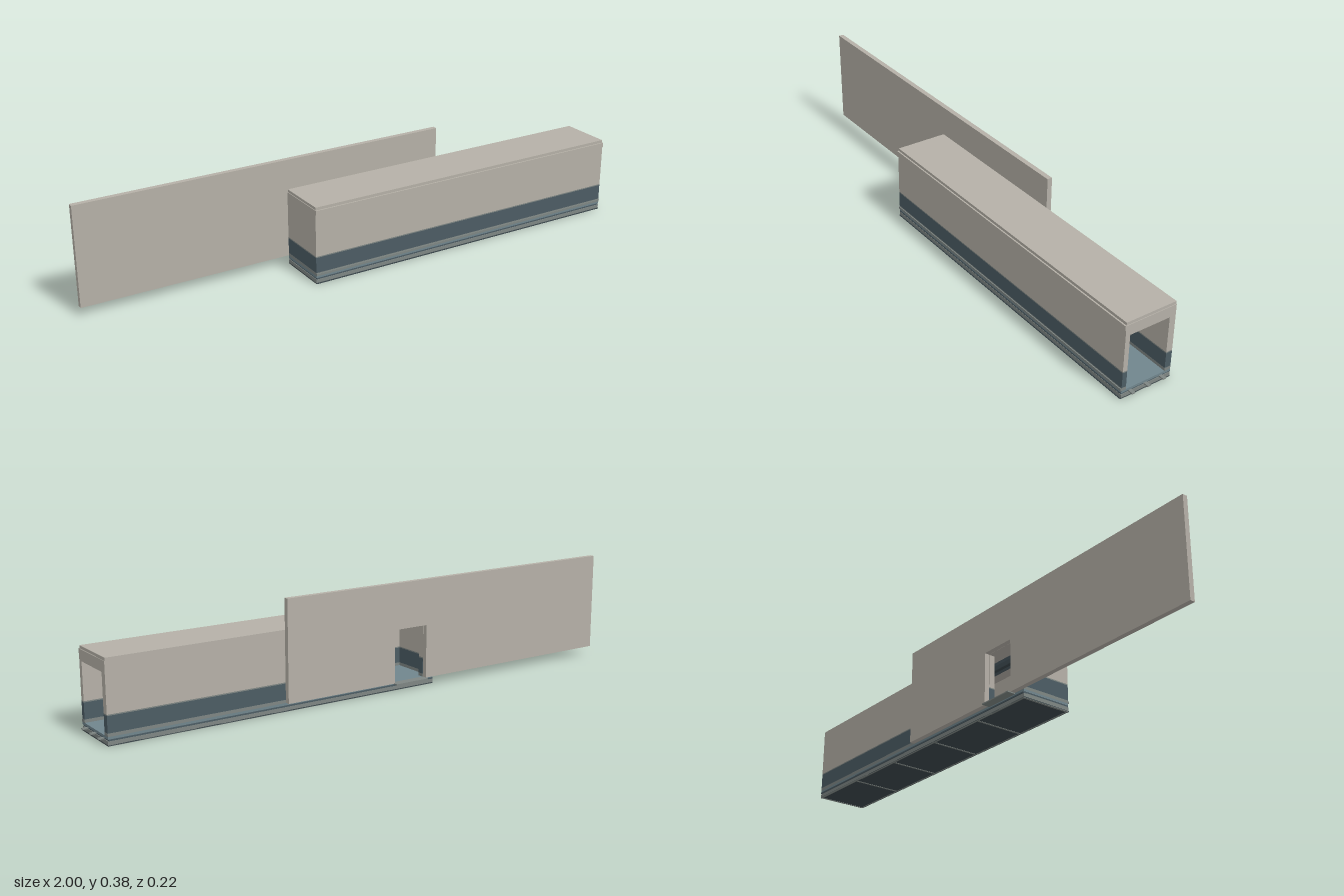
import * as THREE from 'three';

const mat = (name, color) => {
  const m = new THREE.MeshStandardMaterial({ color });
  m.name = name;
  return m;
};

export function createModel() {
  const root = new THREE.Group();
  root.name = 'boardingCorridor';

  const taupe = mat('taupePanel', 0xb5b0a7);
  const slate = mat('slateBand', 0x4c5c64);
  const grey = mat('greyTrim', 0x7e8683);
  const floorBlue = mat('floorBlueGrey', 0x70858d);
  const under = mat('darkUnderside', 0x3c484d);

  // Box given by its extents on each axis
  const box = (name, material, [x0, x1], [y0, y1], [z0, z1], parent = root) => {
    const mesh = new THREE.Mesh(new THREE.BoxGeometry(x1 - x0, y1 - y0, z1 - z0), material);
    mesh.position.set((x0 + x1) / 2, (y0 + y1) / 2, (z0 + z1) / 2);
    mesh.name = name;
    parent.add(mesh);
    return mesh;
  };

  const X0 = -0.25, X1 = 0.983;      // corridor ends
  const ZF = 0.109, ZB = -0.081;     // corridor outer sides
  const IF = 0.092, IB = -0.058;     // corridor inner sides
  const D0 = -0.205, D1 = -0.07;     // doorway
  const DT = 0.22;                   // doorway top
  const CEIL = 0.228;

  // Facade slab with doorway
  const outline = new THREE.Shape([
    [-1, 0.031], [D0, 0.031], [D0, DT], [D1, DT], [D1, 0.031],
    [0.358, 0.031], [0.358, 0.382], [-1, 0.382],
  ].map(([x, y]) => new THREE.Vector2(x, y)));
  const facade = new THREE.Mesh(
    new THREE.ExtrudeGeometry(outline, { depth: 0.018, bevelEnabled: false }), taupe);
  facade.position.z = -0.1;
  facade.name = 'facadeWall';
  root.add(facade);

  // Wall pieces: skirting, dark band, light upper panel
  const wall = (name, xs, zs) => {
    const g = new THREE.Group();
    g.name = name;
    box('skirting', grey, xs, [0.03, 0.041], zs, g);
    box('lowerBand', slate, xs, [0.041, 0.096], zs, g);
    box('bandCap', grey, xs, [0.096, 0.1], zs, g);
    box('upperPanel', taupe, xs, [0.1, CEIL], zs, g);
    root.add(g);
  };
  wall('frontWall', [X0, X1], [IF, ZF]);
  wall('backWall', [D1, X1], [ZB, IB]);
  wall('backWallCorner', [X0, D0], [ZB, IB]);
  wall('closedEnd', [X0, X0 + 0.018], [IB, IF]);
  box('doorLintel', taupe, [D0, D1], [DT, CEIL], [ZB, IB]);

  // Roof, raised cap and side cornice
  box('roofSlab', taupe, [X0, X1], [CEIL, 0.266], [ZB, ZF]);
  box('roofCap', taupe, [X0 + 0.002, X1 - 0.002], [0.266, 0.276], [ZB, ZF - 0.002]);
  box('frontCornice', taupe, [X0, X1], [0.25, 0.266], [ZF, 0.112]);

  // Ceiling light with sloping sides
  const lampProfile = new THREE.Shape([
    [-0.05, CEIL], [-0.044, 0.221], [0.007, 0.221], [0.013, CEIL],
  ].map(([x, y]) => new THREE.Vector2(x, y)));
  const lamp = new THREE.Mesh(
    new THREE.ExtrudeGeometry(lampProfile, { depth: 1.15, bevelEnabled: false }), slate);
  lamp.rotation.y = Math.PI / 2;
  lamp.position.x = -0.21;
  lamp.name = 'ceilingLight';
  root.add(lamp);
  box('lightRail', under, [-0.21, 0.94], [0.218, 0.221], [0.012, 0.025]);

  // Floor and layered base
  box('floor', floorBlue, [X0, X1], [0.022, 0.03], [ZB, ZF]);
  box('floorEdge', slate, [X0 + 0.002, X1 - 0.002], [0.017, 0.022], [ZB - 0.002, ZF]);
  box('baseBeam', grey, [X0, X1], [0.004, 0.017], [ZB + 0.01, ZF - 0.005]);
  box('frontBaseRail', grey, [X0, X1], [0.003, 0.016], [ZF - 0.006, ZF]);
  box('backBaseRail', grey, [X0, X1], [0.003, 0.016], [ZB, ZB + 0.01]);
  box('basePlate', under, [X0, X1], [0.001, 0.004], [ZB, 0.112]);
  box('frontSillTrim', grey, [X0, X1], [0.03, 0.038], [ZF, 0.112]);

  // Underside dividers and border
  const step = (X1 - X0) / 5;
  for (let i = 0; i <= 5; i++) {
    const x = Math.min(Math.max(X0 + step * i, X0 + 0.004), X1 - 0.004);
    box('undersideDivider', grey, [x - 0.004, x + 0.004], [0, 0.002], [ZB, ZF]);
  }
  for (const z of [ZB + 0.003, ZF - 0.003]) {
    box('undersideBorder', grey, [X0, X1], [0, 0.002], [z - 0.003, z + 0.003]);
  }

  // Connecting pegs at the open end
  for (const z of [-0.045, 0.015, 0.075]) {
    box('connectorPeg', grey, [X1 - 0.01, 1], [0.016, 0.02], [z - 0.006, z + 0.006]);
  }

  // Doorway threshold
  box('threshold', grey, [D0, D1], [0.027, 0.031], [-0.112, ZB]);

  return root;
}
